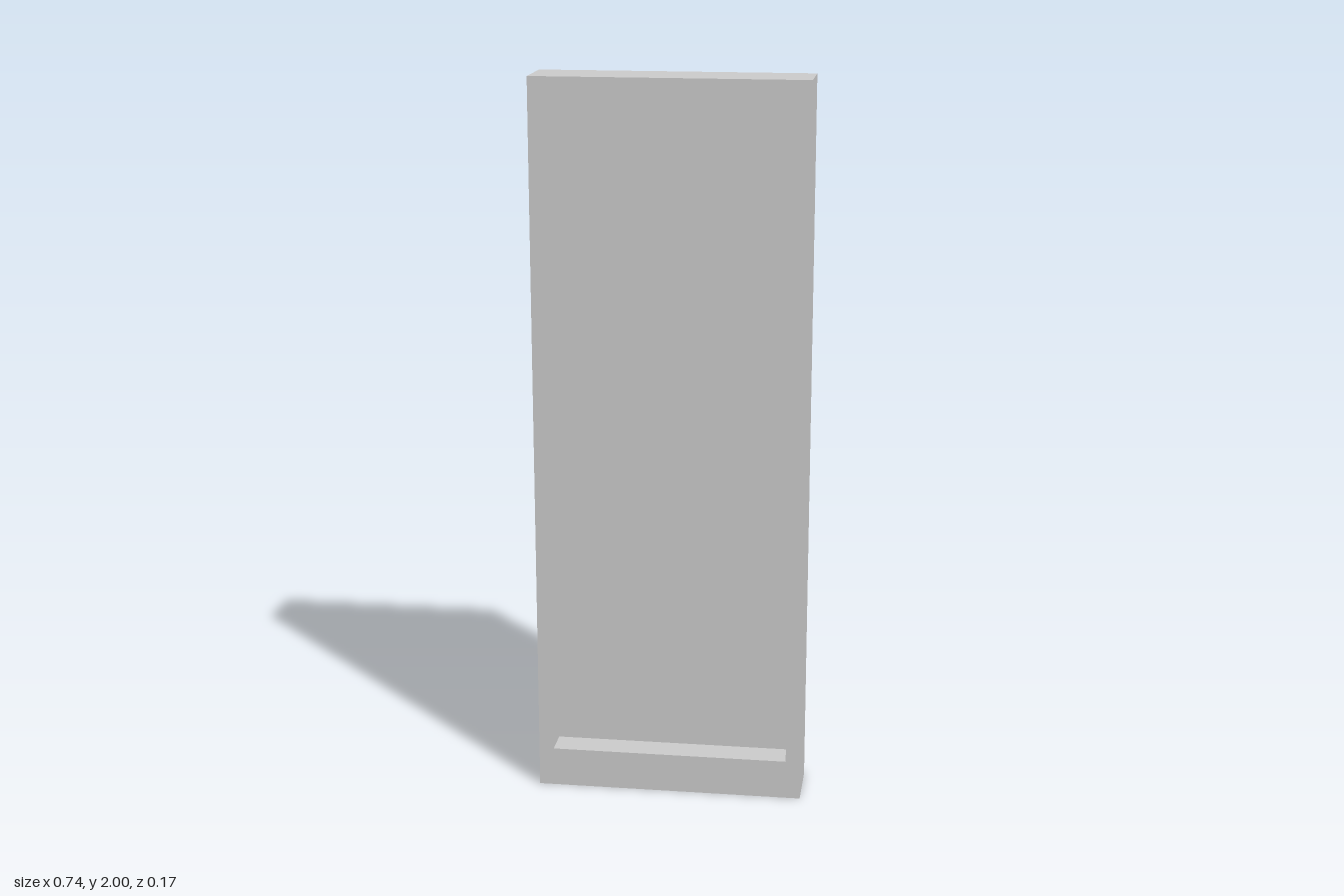
import * as THREE from 'three';

const HALF_W = 0.371, HEIGHT = 2, HALF_D = 0.083; // outer slab
const IN_W = 0.33, IN_BOTTOM = 0.11, IN_TOP = 1.89, FLOOR_Z = 0; // front recess

// Rectangle at depth z, counter-clockwise seen from the front
function rectLoop(halfW, bottom, top, z) {
  return [[-halfW, bottom, z], [halfW, bottom, z], [halfW, top, z], [-halfW, top, z]];
}

// Joins successive loops with quads, giving every quad its own flat normal
function skinLoops(loops) {
  const positions = [];
  const quad = (a, b, c, d) => positions.push(...a, ...b, ...c, ...a, ...c, ...d);
  for (let i = 0; i < loops.length - 1; i++) {
    const p = loops[i], q = loops[i + 1];
    for (let j = 0; j < 4; j++) {
      const k = (j + 1) % 4;
      quad(p[j], p[k], q[k], q[j]);
    }
  }
  quad(...[...loops[0]].reverse()); // back cap
  quad(...loops[loops.length - 1]); // recess floor
  const geometry = new THREE.BufferGeometry();
  geometry.setAttribute('position', new THREE.Float32BufferAttribute(positions, 3));
  geometry.computeVertexNormals();
  return geometry;
}

export function createModel() {
  const group = new THREE.Group();
  group.name = 'recessedPanel';

  // Slab skin: back, outer sides, front border, recess walls and floor
  const panel = new THREE.Mesh(
    skinLoops([
      rectLoop(HALF_W, 0, HEIGHT, -HALF_D),
      rectLoop(HALF_W, 0, HEIGHT, HALF_D),
      rectLoop(IN_W, IN_BOTTOM, IN_TOP, HALF_D),
      rectLoop(IN_W, IN_BOTTOM, IN_TOP, FLOOR_Z),
    ]),
    new THREE.MeshStandardMaterial({ color: 0xcccccc, flatShading: true })
  );
  panel.name = 'framedPanel';
  group.add(panel);

  return group;
}
